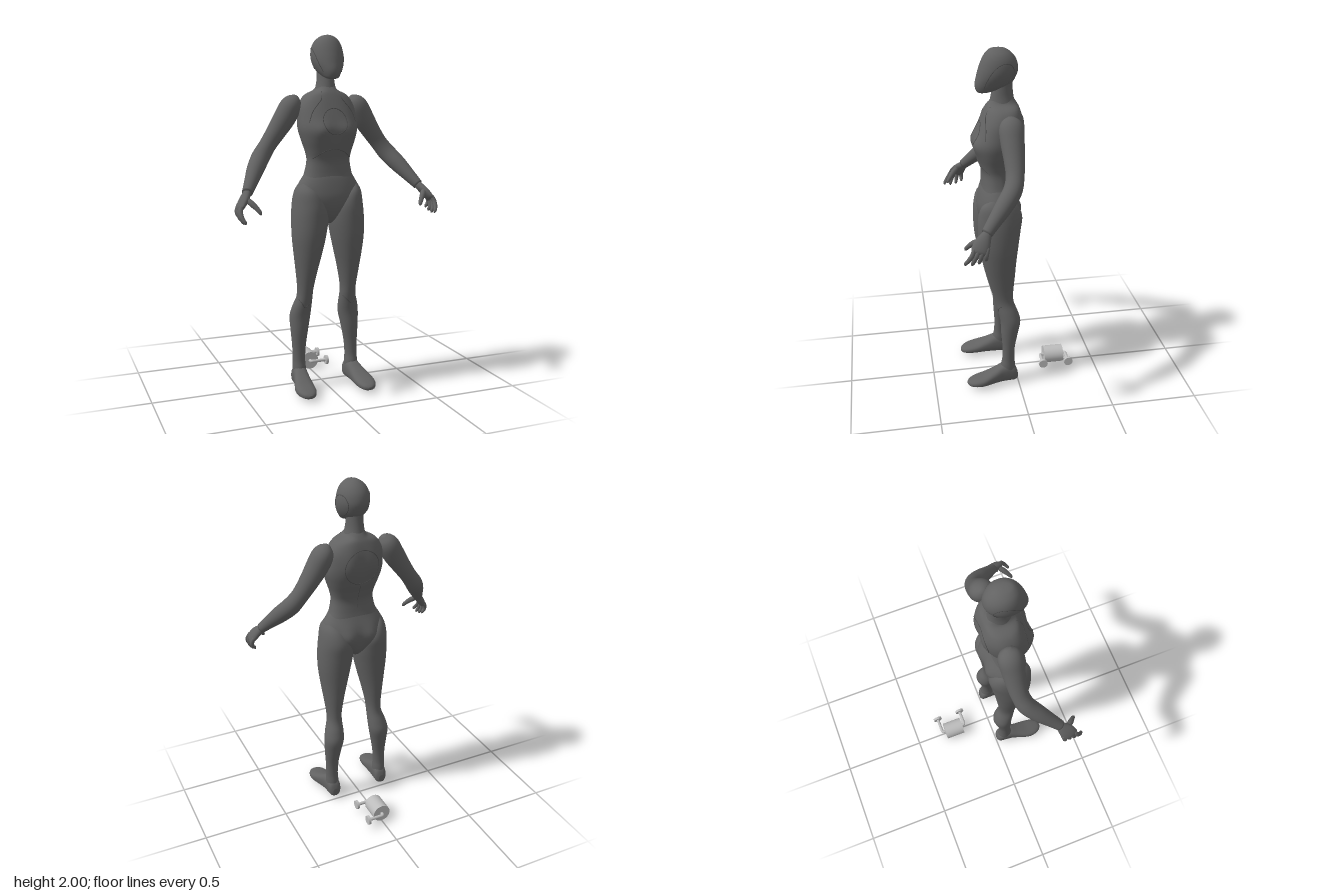
import * as THREE from 'three';

const bodyMat = new THREE.MeshStandardMaterial({ color: 0x626262 });
bodyMat.name = 'dark grey';
const seamMat = new THREE.MeshStandardMaterial({ color: 0x4c4c4c });
seamMat.name = 'seam grey';
const metalMat = new THREE.MeshStandardMaterial({ color: 0xbcbcbc });
metalMat.name = 'light grey';
const V = (x, y, z) => new THREE.Vector3(x, y, z);

function add(parent, name, geometry, material = bodyMat) {
  const mesh = new THREE.Mesh(geometry, material);
  mesh.name = name;
  parent.add(mesh);
  return mesh;
}

// Smooth a short list of cross-sections with a Catmull-Rom curve
function smooth(rows, steps = 5) {
  const out = [];
  const at = i => rows[Math.min(Math.max(i, 0), rows.length - 1)];
  for (let i = 0; i < rows.length - 1; i++) {
    for (let k = 0; k < steps; k++) {
      const t = k / steps;
      out.push(rows[i].map((b, j) => {
        const a = at(i - 1)[j], c = at(i + 1)[j], d = at(i + 2)[j];
        return 0.5 * (2 * b + (c - a) * t + (2 * a - 5 * b + 4 * c - d) * t * t + (3 * b - a - 3 * c + d) * t ** 3);
      }));
    }
  }
  out.push(rows[rows.length - 1]);
  return out;
}

// Closed skin over the sections; place(row, cos, sin, index) gives each point
function skin(rows, place, n = 40, power = 2) {
  const pos = [], index = [];
  const bend = v => Math.sign(v) * Math.abs(v) ** (2 / power);
  rows.forEach((row, i) => {
    for (let k = 0; k < n; k++) {
      const a = (k / n) * Math.PI * 2;
      pos.push(...place(row, bend(Math.cos(a)), bend(Math.sin(a)), i).toArray());
    }
  });
  for (let i = 0; i < rows.length - 1; i++) {
    for (let k = 0; k < n; k++) {
      const a = i * n + k, b = i * n + (k + 1) % n;
      index.push(a, b, a + n, b, b + n, a + n);
    }
  }
  for (const i of [0, rows.length - 1]) {
    const c = V(0, 0, 0), id = pos.length / 3;
    for (let k = 0; k < n; k++) c.add(V().fromArray(pos, (i * n + k) * 3));
    pos.push(...c.divideScalar(n).toArray());
    for (let k = 0; k < n; k++) {
      const a = i * n + k, b = i * n + (k + 1) % n;
      index.push(...(i ? [a, b, id] : [b, a, id]));
    }
  }
  // Turn the faces outwards
  let volume = 0;
  for (let i = 0; i < index.length; i += 3) {
    const [a, b, c] = [0, 1, 2].map(j => V().fromArray(pos, index[i + j] * 3));
    volume += a.dot(b.cross(c));
  }
  if (volume < 0) index.reverse();
  const g = new THREE.BufferGeometry();
  g.setAttribute('position', new THREE.Float32BufferAttribute(pos, 3));
  g.setIndex(index);
  g.computeVertexNormals();
  return g;
}

// Level sections: [y, x outer, x inner, z front, z back]
const level = (s = 1, sculpt = () => 0) => ([y, o, i, f, b], c, sn) => {
  const x = (o + i) / 2 + (o - i) / 2 * c;
  return V(s * x, y, (f + b) / 2 + (f - b) / 2 * sn + sculpt(x, y, sn));
};
const centred = rows => smooth(rows.map(([y, r, f, b]) => [y, r, -r, f, b]));

// Sections square to a path: [x, y, z, thickness, breadth]
function limb(rows, s, n = 24, steps = 5) {
  const r = smooth(rows, steps);
  return skin(r, ([x, y, z, ru, rv], c, sn, i) => {
    const t = V().fromArray(r[Math.min(i + 1, r.length - 1)]).sub(V().fromArray(r[Math.max(i - 1, 0)])).normalize();
    const u = V().crossVectors(t, V(0, 0, 1)).normalize(), v = V().crossVectors(t, u);
    const p = V(x, y, z).addScaledVector(u, ru * c).addScaledVector(v, rv * sn);
    p.x *= s;
    return p;
  }, n);
}

// Row of a skin at height y
function rowAt(rows, y) {
  const i = Math.max(1, rows.findIndex(r => r[0] <= y));
  const t = (y - rows[i - 1][0]) / (rows[i][0] - rows[i - 1][0]);
  return rows[i].map((v, j) => rows[i - 1][j] + (v - rows[i - 1][j]) * t);
}

function seam(parent, name, points, closed = false) {
  const curve = new THREE.CatmullRomCurve3(points, closed);
  add(parent, name, new THREE.TubeGeometry(curve, points.length * 3, 0.0022, 6, closed), seamMat);
}

const hump = (x, y, cx, cy, w, h) => Math.exp(-(((Math.abs(x) - cx) / w) ** 2) - ((y - cy) / h) ** 2);

export function createModel() {
  const model = new THREE.Group();
  const figure = new THREE.Group();
  figure.name = 'figure';
  model.add(figure);

  // Head and neck
  const head = centred([
    [2.0, 0.008, 0.1, 0.07], [1.993, 0.034, 0.128, 0.04], [1.97, 0.064, 0.152, 0.008], [1.935, 0.082, 0.172, -0.016],
    [1.89, 0.088, 0.189, -0.025], [1.85, 0.083, 0.2, -0.014], [1.815, 0.069, 0.208, 0.008],
    [1.79, 0.054, 0.207, 0.055], [1.77, 0.037, 0.198, 0.115], [1.762, 0.015, 0.186, 0.15]]);
  add(figure, 'head', skin(head, level()));
  const neck = centred([[1.85, 0.045, 0.11, 0.005], [1.79, 0.046, 0.114, 0.005], [1.74, 0.05, 0.124, 0], [1.69, 0.062, 0.135, -0.01]]);
  add(figure, 'neck', skin(neck, level()));

  // Torso with bust and shoulder blades
  const torso = centred([
    [1.735, 0.045, 0.115, 0.005], [1.705, 0.062, 0.138, -0.015], [1.675, 0.12, 0.155, -0.03], [1.62, 0.155, 0.178, -0.042],
    [1.55, 0.165, 0.205, -0.044], [1.49, 0.165, 0.222, -0.035], [1.43, 0.15, 0.215, -0.015], [1.37, 0.131, 0.197, 0.01],
    [1.32, 0.123, 0.182, 0.025], [1.26, 0.133, 0.183, 0.02], [1.2, 0.15, 0.188, 0.01], [1.15, 0.14, 0.18, 0.02]]);
  const chest = (x, y, sn) => sn > 0
    ? 0.016 * sn * hump(x, y, 0.08, 1.485, 0.05, 0.05)
    : 0.012 * sn * hump(x, y, 0.07, 1.56, 0.05, 0.08);
  add(figure, 'torso', skin(torso, level(1, chest), 56, 2.4));
  const onTorso = (x, y, side) => {
    const [, r, , f, b] = rowAt(torso, y);
    const sn = side * Math.max(0, 1 - Math.abs(x / r) ** 2.4) ** (1 / 2.4);
    return V(x, y, (f + b) / 2 + (f - b) / 2 * sn + chest(x, y, sn));
  };
  const ring = (rx, ry, cy, side) => Array.from({ length: 28 }, (_, i) => {
    const a = i / 28 * Math.PI * 2;
    return onTorso(rx * Math.cos(a), cy + ry * Math.sin(a), side);
  });
  seam(figure, 'chestRing', ring(0.068, 0.07, 1.535, 1), true);
  seam(figure, 'backPanel', ring(0.1, 0.1, 1.54, -1), true);
  seam(figure, 'spineSeam', [1.43, 1.38, 1.33, 1.28].map(y => onTorso(0, y, -1)));
  seam(figure, 'ribSeam', [-0.11, -0.08, -0.045, 0, 0.045, 0.08, 0.11].map(x => onTorso(x, 1.385 - 4.5 * x * x, 1)));

  // Pelvis, narrowing to a V, with a cleft at the back
  const pelvis = centred([
    [1.255, 0.128, 0.178, 0.026], [1.22, 0.152, 0.191, 0.01], [1.17, 0.178, 0.203, -0.01], [1.12, 0.178, 0.21, -0.02],
    [1.07, 0.14, 0.205, -0.015], [1.02, 0.085, 0.185, 0], [0.98, 0.035, 0.155, 0.03], [0.965, 0.012, 0.13, 0.06]]);
  const seat = (x, y, sn) => sn < 0 ? 0.022 * sn * hump(x, y, 0.075, 1.1, 0.05, 0.07) : 0;
  add(figure, 'pelvis', skin(pelvis, level(1, seat), 56, 2.2));

  const leg = smooth([
    [1.2, 0.162, 0.13, 0.14, 0.06], [1.15, 0.19, 0.06, 0.195, 0], [1.08, 0.203, 0.012, 0.216, -0.03],
    [1.0, 0.21, 0.005, 0.22, -0.022], [0.9, 0.21, 0.02, 0.215, -0.008], [0.8, 0.2, 0.042, 0.198, 0.005],
    [0.7, 0.187, 0.066, 0.174, 0.015], [0.6, 0.176, 0.085, 0.146, 0.025], [0.54, 0.178, 0.088, 0.13, 0.022],
    [0.48, 0.197, 0.087, 0.115, 0], [0.42, 0.209, 0.09, 0.103, -0.014], [0.34, 0.206, 0.105, 0.1, 0.002],
    [0.25, 0.2, 0.12, 0.094, 0.02], [0.17, 0.198, 0.126, 0.096, 0.023], [0.12, 0.2, 0.123, 0.105, 0.018],
    [0.06, 0.2, 0.123, 0.105, 0.015]]);

  for (const s of [1, -1]) {
    const side = s > 0 ? 'left' : 'right';
    const part = (name, g) => add(figure, side + name, g);

    // Leg, foot and knee seam
    part('Leg', skin(leg, level(s)));
    const foot = smooth([
      [0.004, 0.16, 0.018, 0.07, 0.025], [0.02, 0.16, 0.036, 0.11, 0.015], [0.06, 0.162, 0.041, 0.135, 0.014],
      [0.1, 0.165, 0.043, 0.128, 0.015], [0.15, 0.172, 0.049, 0.103, 0.015], [0.21, 0.18, 0.057, 0.078, 0.014],
      [0.26, 0.181, 0.052, 0.063, 0.014], [0.295, 0.18, 0.034, 0.05, 0.016], [0.31, 0.179, 0.01, 0.038, 0.024]]);
    part('Foot', skin(foot, ([z, cx, w, t, b], c, sn) => V(s * (cx + w * c), (t + b) / 2 + (t - b) / 2 * sn, z), 32, 2.5));
    seam(figure, side + 'KneeSeam', [-0.9, -0.5, 0, 0.5, 0.9].map(k => {
      const row = rowAt(leg, 0.485 + 0.055 * Math.abs(k));
      return level(s)(row, k, Math.sqrt(1 - k * k));
    }));

    // Arm from shoulder cap to wrist
    part('Arm', limb([
      [0.165, 1.672, 0.042, 0.012, 0.015], [0.178, 1.65, 0.043, 0.043, 0.05], [0.2, 1.612, 0.044, 0.06, 0.066],
      [0.235, 1.55, 0.045, 0.061, 0.063], [0.285, 1.475, 0.045, 0.053, 0.055], [0.335, 1.405, 0.05, 0.047, 0.049],
      [0.38, 1.345, 0.07, 0.05, 0.05], [0.425, 1.285, 0.12, 0.047, 0.047], [0.47, 1.22, 0.18, 0.036, 0.037],
      [0.503, 1.172, 0.224, 0.028, 0.03]], s, 32));

    // Hand
    part('Palm', limb([
      [0.496, 1.182, 0.215, 0.018, 0.02], [0.512, 1.16, 0.231, 0.022, 0.03], [0.535, 1.13, 0.253, 0.022, 0.043],
      [0.555, 1.1, 0.27, 0.017, 0.044], [0.56, 1.088, 0.276, 0.007, 0.035]], s));
    for (let f = 0; f < 4; f++) {
      const z = 0.308 - f * 0.024, tip = 1.02 + [0.004, 0, 0.006, 0.02][f], spread = 0.034 - f * 0.011;
      part('Finger' + (f + 1), limb([
        [0.552, 1.115, z - 0.012, 0.01, 0.01], [0.563, 1.085, z, 0.0125, 0.0125],
        [0.56, (1.085 + tip) / 2, z + spread * 0.6, 0.011, 0.011],
        [0.549, tip + 0.01, z + spread, 0.009, 0.009], [0.546, tip, z + spread, 0.003, 0.003]], s, 12, 3));
    }
    part('Thumb', limb([
      [0.525, 1.15, 0.255, 0.012, 0.012], [0.5, 1.125, 0.288, 0.016, 0.016], [0.478, 1.1, 0.312, 0.013, 0.013],
      [0.464, 1.078, 0.328, 0.01, 0.01], [0.46, 1.068, 0.333, 0.003, 0.003]], s, 12, 3));

    // Curved seam on the side of the head
    seam(figure, side + 'HeadSeam', [[1.8, 0.165], [1.84, 0.15], [1.89, 0.12], [1.925, 0.075], [1.925, 0.03], [1.885, 0.005], [1.84, 0.025], [1.815, 0.06]].map(([y, z]) => {
      const [, r, , f, b] = rowAt(head, y);
      const k = (2 * z - f - b) / (f - b);
      return V(s * r * Math.sqrt(Math.max(0, 1 - k * k)), y, z);
    }));

    // Collar seam from neck to armpit
    seam(figure, side + 'CollarSeam', [[0.05, 1.695], [0.06, 1.655], [0.085, 1.625], [0.115, 1.585], [0.135, 1.53]].map(([x, y]) => onTorso(s * x, y, 1)));
  }

  // Roller on the floor behind, with two cranked handles
  const roller = new THREE.Group();
  roller.name = 'roller';
  roller.position.set(0, 0.054, -0.249);
  model.add(roller);
  add(roller, 'drum', new THREE.CylinderGeometry(0.053, 0.053, 0.118, 48).rotateX(Math.PI / 2), metalMat);
  for (const s of [1, -1]) {
    const path = new THREE.CurvePath();
    path.add(new THREE.LineCurve3(V(0, 0, s * 0.055), V(0, 0, s * 0.068)));
    path.add(new THREE.QuadraticBezierCurve3(V(0, 0, s * 0.068), V(0, 0, s * 0.079), V(0.012, 0, s * 0.079)));
    path.add(new THREE.LineCurve3(V(0.012, 0, s * 0.079), V(0.096, 0, s * 0.079)));
    const name = s > 0 ? 'front' : 'rear';
    add(roller, name + 'Crank', new THREE.TubeGeometry(path, 30, 0.0095, 16), metalMat);
    add(roller, name + 'Disc', new THREE.CylinderGeometry(0.027, 0.027, 0.015, 32).rotateZ(Math.PI / 2).translate(0.099, 0, s * 0.079), metalMat);
  }
  return model;
}
